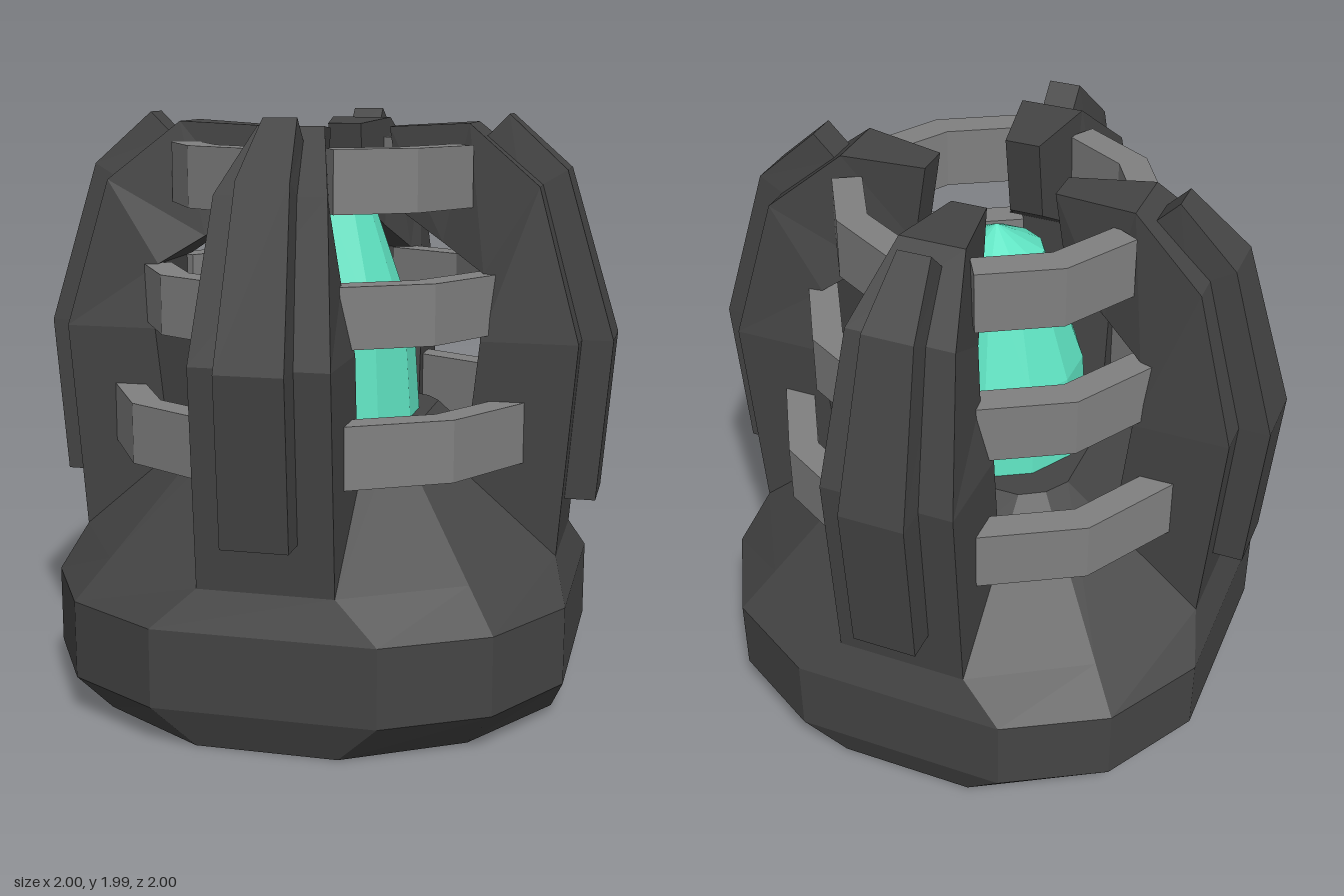
import * as THREE from 'three';

// Skin a row of convex cross-sections (equal point counts) into a closed, faceted solid.
function loft(sections) {
  const n = sections[0].length;
  const last = sections.length - 1;
  const tris = [];
  for (let s = 0; s < last; s++) {
    for (let i = 0; i < n; i++) {
      const j = (i + 1) % n;
      const [a, b, c, d] = [sections[s][i], sections[s][j], sections[s + 1][j], sections[s + 1][i]];
      tris.push([a, b, c], [a, c, d]);
    }
  }
  for (let i = 1; i < n - 1; i++) {
    tris.push([sections[0][0], sections[0][i + 1], sections[0][i]]);
    tris.push([sections[last][0], sections[last][i], sections[last][i + 1]]);
  }
  // Turn the faces outward when the enclosed volume is negative.
  const volume = tris.reduce((v, [a, b, c]) => v
    + a[0] * (b[1] * c[2] - b[2] * c[1])
    + a[1] * (b[2] * c[0] - b[0] * c[2])
    + a[2] * (b[0] * c[1] - b[1] * c[0]), 0);
  if (volume < 0) tris.forEach((t) => t.reverse());
  const geometry = new THREE.BufferGeometry();
  geometry.setAttribute('position', new THREE.Float32BufferAttribute(tris.flat(2), 3));
  geometry.computeVertexNormals();
  return geometry;
}

// Twelve-sided outline: side half-width w, side distance r, diagonal corner d.
function baseLoop([y, w, r, d]) {
  const loop = [];
  const corners = [[w, r], [d, d], [r, w]];
  for (let q = 0; q < 4; q++) {
    const c = Math.round(Math.cos(q * Math.PI / 2));
    const s = Math.round(Math.sin(q * Math.PI / 2));
    for (const [x, z] of corners) loop.push([x * c + z * s, y, z * c - x * s]);
  }
  return loop;
}

// Strut section facing +z: outer (z, y), inner (z, y), half-width.
const strutLoop = ([zo, yo, zi, yi, w]) => [[-w, yo, zo], [w, yo, zo], [w, yi, zi], [-w, yi, zi]];

// Bent guard band across one corner, between two struts.
function bandGeometry(y0, y1, corner, end) {
  const t = 0.1;
  const endX = corner - (end - corner) / 0.577;
  const pairs = [
    [[endX, end], [endX - t * 0.5, end - t * 0.866]],
    [[corner, corner], [corner - t * 0.732, corner - t * 0.732]],
    [[end, endX], [end - t * 0.866, endX - t * 0.5]],
  ];
  return loft(pairs.map(([o, i]) => [[o[0], y0, o[1]], [o[0], y1, o[1]], [i[0], y1, i[1]], [i[0], y0, i[1]]]));
}

export function createModel() {
  const model = new THREE.Group();
  const darkMetal = new THREE.MeshStandardMaterial({ name: 'darkMetal', color: 0x444444 });
  const greyMetal = new THREE.MeshStandardMaterial({ name: 'greyMetal', color: 0x808080 });
  const tealGlow = new THREE.MeshStandardMaterial({ name: 'tealGlow', color: 0x5fe3c2 });

  const add = (parent, name, geometry, material) => {
    const mesh = new THREE.Mesh(geometry, material);
    mesh.name = name;
    parent.add(mesh);
  };

  // Faceted pedestal
  const base = loft([
    [0, 0.235, 0.84, 0.61],
    [0.135, 0.37, 0.89, 0.7],
    [0.4, 0.37, 0.89, 0.7],
    [0.53, 0.225, 0.84, 0.606],
    [0.95, 0.225, 0.355, 0.305],
  ].map(baseLoop));
  add(model, 'base', base, darkMetal);

  // Glowing crystal core
  const profile = [[0, 0.9], [0.325, 0.9], [0.3, 1.26], [0.16, 1.67], [0, 1.76]]
    .map(([r, y]) => new THREE.Vector2(r, y));
  const core = new THREE.LatheGeometry(profile, 12, Math.PI / 12).toNonIndexed();
  core.computeVertexNormals();
  add(model, 'core', core, tealGlow);

  // Curved struts, each with a raised rib along its back
  const strut = loft([
    [0.838, 0.5, 0.49, 0.5, 0.225],
    [0.895, 1.25, 0.57, 1.25, 0.225],
    [0.75, 1.76, 0.57, 1.47, 0.18],
    [0.505, 1.96, 0.42, 1.565, 0.11],
    [0.225, 1.945, 0.27, 1.66, 0.06],
  ].map(strutLoop));
  const rib = loft([
    [0.957, 0.7, 0.8, 0.7, 0.11],
    [1.0, 1.25, 0.82, 1.25, 0.11],
    [0.83, 1.81, 0.68, 1.72, 0.085],
    [0.63, 1.99, 0.55, 1.91, 0.055],
  ].map(strutLoop));

  // Guard bands, stacked and shrinking upward
  const bands = [
    ['lowerBand', bandGeometry(0.845, 1.05, 0.54, 0.73)],
    ['middleBand', bandGeometry(1.27, 1.47, 0.46, 0.63)],
    ['upperBand', bandGeometry(1.685, 1.89, 0.385, 0.525)],
  ];

  // Four identical quarters
  for (let q = 0; q < 4; q++) {
    const quarter = new THREE.Group();
    quarter.name = `cageQuarter${q + 1}`;
    quarter.rotation.y = q * Math.PI / 2;
    add(quarter, 'strut', strut, darkMetal);
    add(quarter, 'rib', rib, darkMetal);
    for (const [name, geometry] of bands) add(quarter, name, geometry, greyMetal);
    model.add(quarter);
  }
  return model;
}
